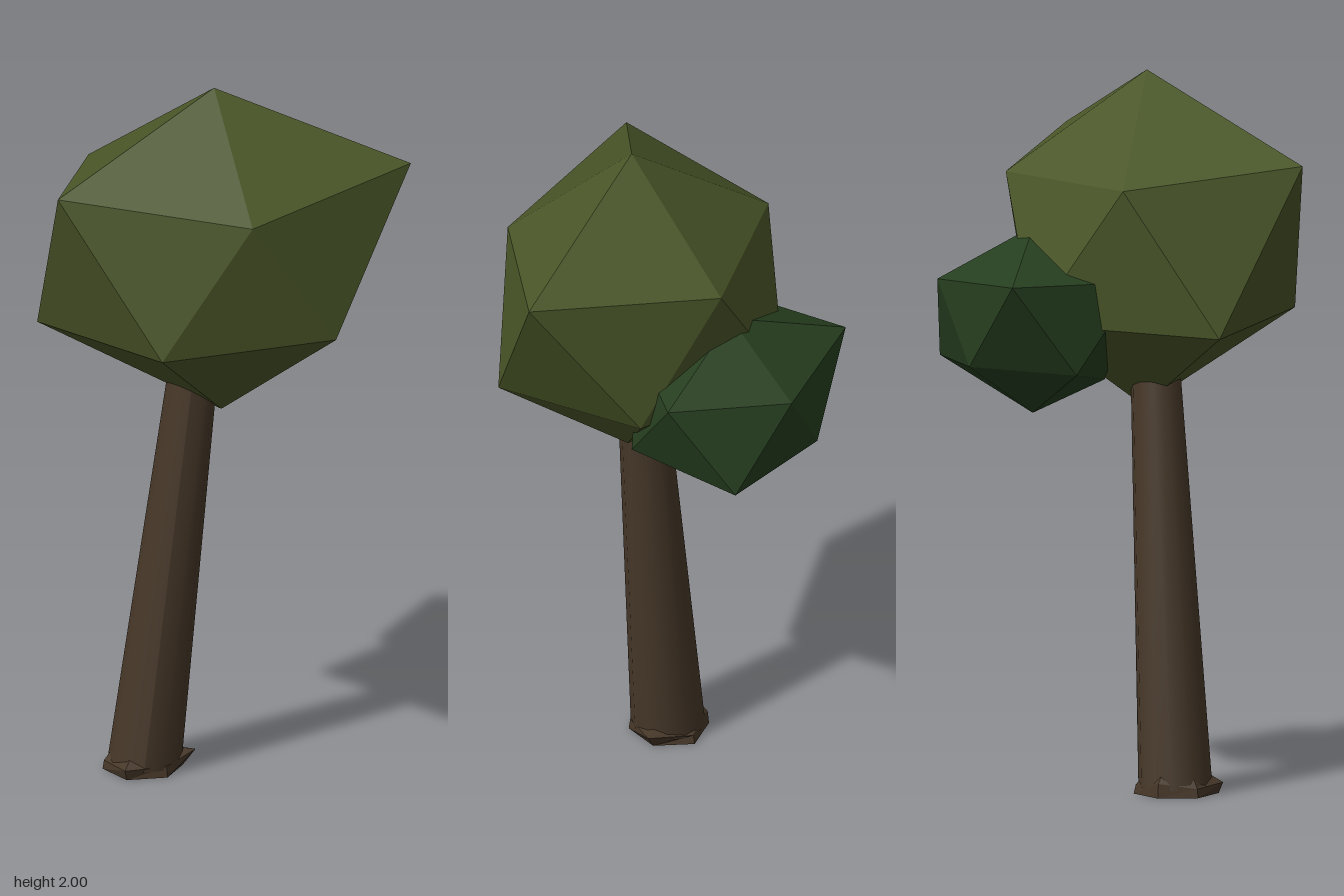
import * as THREE from 'three';

const mat = (name, color, flatShading = false) => {
  const m = new THREE.MeshStandardMaterial({ color, flatShading });
  m.name = name;
  return m;
};

// Flat-faced geometry from a list of triangles, each made of three [x, y, z] points
function facets(triangles) {
  const g = new THREE.BufferGeometry();
  g.setAttribute('position', new THREE.Float32BufferAttribute(triangles.flat(2), 3));
  g.computeVertexNormals();
  return g;
}

// Twenty-sided leaf clump: two poles joined by two staggered rings of five
function clump(top, upper, lower, bottom) {
  const tris = [];
  for (let i = 0; i < 5; i++) {
    const j = (i + 1) % 5;
    tris.push(
      [top, upper[i], upper[j]],
      [upper[i], lower[i], upper[j]],
      [lower[i], lower[j], upper[j]],
      [lower[j], lower[i], bottom]
    );
  }
  return facets(tris);
}

export function createModel() {
  const tree = new THREE.Group();
  tree.name = 'tree';
  const leafLight = mat('olive leaves', 0x4a5628, true);
  const leafDark = mat('dark green leaves', 0x263e1f, true);
  const bark = mat('bark', 0x473829);

  const add = (name, geometry, material) => {
    const mesh = new THREE.Mesh(geometry, material);
    mesh.name = name;
    tree.add(mesh);
  };

  // Main crown
  add('mainCrown', clump(
    [-0.03, 2, 0.1],
    [[0.515, 1.78, 0.1], [0.1, 1.72, -0.27], [-0.38, 1.72, -0.13], [-0.46, 1.77, 0.38], [0.08, 1.705, 0.435]],
    [[0.29, 1.345, -0.125], [-0.17, 1.33, -0.31], [-0.52, 1.31, 0.1], [-0.17, 1.33, 0.487], [0.31, 1.34, 0.325]],
    [-0.01, 1.055, 0.1]
  ), leafLight);

  // Smaller crown at the back
  add('backCrown', clump(
    [-0.01, 1.58, -0.235],
    [[0.325, 1.455, -0.235], [0.08, 1.435, -0.487], [-0.3, 1.457, -0.43], [-0.3, 1.45, -0.05], [0.08, 1.44, 0.01]],
    [[0.215, 1.21, -0.05], [0.245, 1.195, -0.405], [-0.09, 1.21, -0.466], [-0.3, 1.2, -0.235], [-0.09, 1.15, -0.055]]
      .map((_, i, l) => l[(i + 1) % 5]),
    [0, 1.055, -0.233]
  ), leafDark);

  // Leaning, tapered trunk, sheared so its ends stay level
  const trunk = new THREE.CylinderGeometry(0.066, 0.103, 1.26, 12, 1);
  trunk.translate(0, 0.65, 0.1);
  const p = trunk.attributes.position;
  for (let i = 0; i < p.count; i++) p.setX(i, p.getX(i) - 0.225 + p.getY(i) * 0.117);
  trunk.computeVertexNormals();
  add('trunk', trunk, bark);

  // Jagged root flare: bottom ring, outer lip and inner ring against the trunk
  const ring = (radii, heights) => radii.map((r, i) => {
    const a = (i / 6) * Math.PI * 2 + 0.15;
    return [-0.228 + Math.cos(a) * r, heights[i], 0.1 - Math.sin(a) * r];
  });
  const base = ring([0.112, 0.118, 0.112, 0.112, 0.118, 0.112], [0, 0, 0, 0, 0, 0]);
  const lip = ring([0.148, 0.112, 0.108, 0.108, 0.13, 0.108], [0.045, 0.025, 0.04, 0.025, 0.03, 0.03]);
  const inner = ring([0.09, 0.09, 0.09, 0.09, 0.09, 0.09], [0.055, 0.04, 0.06, 0.05, 0.055, 0.045]);
  const tris = [];
  for (let i = 0; i < 6; i++) {
    const j = (i + 1) % 6;
    for (const [a, b] of [[base, lip], [lip, inner]]) {
      tris.push([a[i], a[j], b[j]], [a[i], b[j], b[i]]);
    }
    tris.push([[-0.228, 0, 0.1], base[j], base[i]]);
  }
  add('rootFlare', facets(tris), bark);

  return tree;
}
